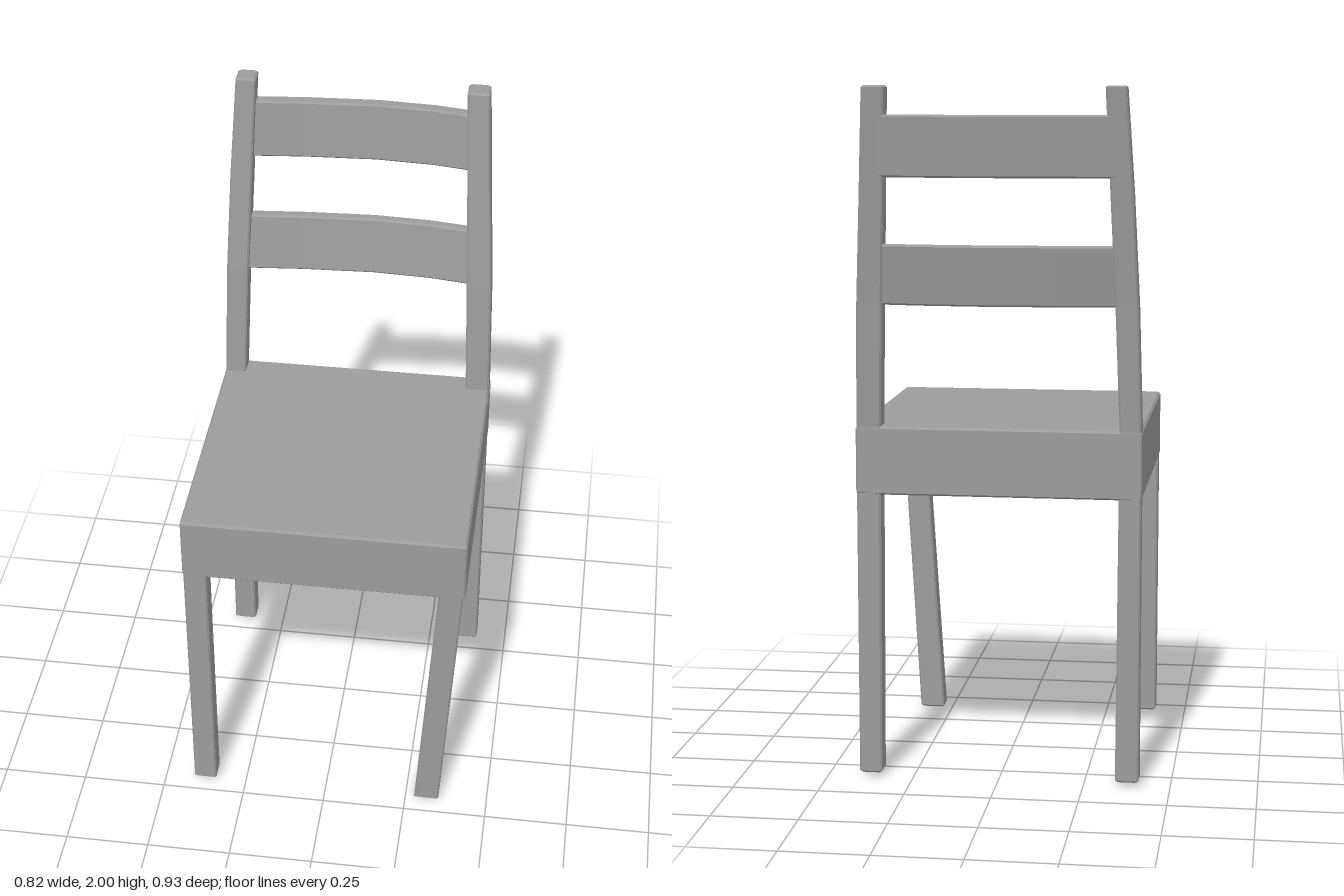
import * as THREE from 'three';

const material = new THREE.MeshStandardMaterial({ color: 0x9c9c9c, flatShading: true });

// Rectangle with clipped corners, counter-clockwise in (u, v)
function clippedRect(u0, u1, v0, v1, c) {
  return [
    [u1, v0 + c], [u1, v1 - c], [u1 - c, v1], [u0 + c, v1],
    [u0, v1 - c], [u0, v0 + c], [u0 + c, v0], [u1 - c, v0],
  ];
}

// Horizontal ring at height y
function levelRing(y, x0, x1, z0, z1, inset, bevel) {
  return clippedRect(z0 + inset, z1 - inset, x0 + inset, x1 - inset, bevel).map(([z, x]) => [x, y, z]);
}

// Skin a list of rings of [x, y, z] points and cap both ends
function loft(name, rings) {
  const pos = [];
  const tri = (a, b, c) => pos.push(...a, ...b, ...c);
  const n = rings[0].length;
  for (let i = 0; i < rings.length - 1; i++) {
    for (let j = 0; j < n; j++) {
      const k = (j + 1) % n;
      tri(rings[i][j], rings[i][k], rings[i + 1][k]);
      tri(rings[i][j], rings[i + 1][k], rings[i + 1][j]);
    }
  }
  const first = rings[0], last = rings[rings.length - 1];
  for (let j = 1; j < n - 1; j++) {
    tri(first[0], first[j + 1], first[j]);
    tri(last[0], last[j], last[j + 1]);
  }
  const geometry = new THREE.BufferGeometry();
  geometry.setAttribute('position', new THREE.Float32BufferAttribute(pos, 3));
  geometry.computeVertexNormals();
  const mesh = new THREE.Mesh(geometry, material);
  mesh.name = name;
  return mesh;
}

// Upright bar through sections [y, x0, x1, z0, z1], with bevelled ends
function upright(name, sections) {
  const bevel = 0.005;
  const ring = ([y, ...sides], inset, dy) => levelRing(y + dy, ...sides, inset, bevel);
  const first = sections[0], last = sections[sections.length - 1];
  return loft(name, [
    ring(first, bevel, 0),
    ring(first, 0, bevel),
    ...sections.slice(1, -1).map((s) => ring(s, 0, 0)),
    ring(last, 0, -bevel),
    ring(last, bevel, 0),
  ]);
}

// Bowed, backward-leaning slat; zBottom and zTop are the front edge at its ends
function slat(name, y0, y1, zBottom, zTop, thickness, depth) {
  const stations = [[-0.335, 0], [-0.17, 0.6], [0.04, 1], [0.21, 0.65], [0.335, -0.1]];
  return loft(name, stations.map(([x, bow]) =>
    clippedRect(y0, y1, -thickness, 0, 0.005).map(([y, dz]) => {
      const t = (y - y0) / (y1 - y0);
      return [x, y, zBottom + (zTop - zBottom) * t - bow * depth + dz];
    })));
}

export function createModel() {
  const chair = new THREE.Group();
  chair.name = 'chair';

  // Back legs run on into the leaning back posts
  chair.add(upright('rightBackPost', [
    [0.012, -0.409, -0.341, -0.352, -0.287],
    [1.04, -0.409, -0.347, -0.352, -0.288],
    [1.39, -0.4, -0.335, -0.378, -0.315],
    [1.7, -0.386, -0.322, -0.412, -0.35],
    [2, -0.368, -0.31, -0.447, -0.386],
  ]));
  chair.add(upright('leftBackPost', [
    [0.012, 0.341, 0.407, -0.352, -0.287],
    [1.04, 0.336, 0.407, -0.352, -0.288],
    [1.39, 0.325, 0.398, -0.378, -0.315],
    [1.7, 0.313, 0.381, -0.412, -0.35],
    [2, 0.301, 0.365, -0.447, -0.386],
  ]));

  // Front legs: the left one is skewed inward
  chair.add(upright('rightFrontLeg', [
    [0.012, -0.409, -0.341, 0.398, 0.462],
    [1.0, -0.409, -0.341, 0.398, 0.462],
  ]));
  chair.add(upright('leftFrontLeg', [
    [0, 0.277, 0.352, 0.386, 0.45],
    [0.84, 0.332, 0.403, 0.398, 0.461],
    [1.0, 0.34, 0.406, 0.398, 0.461],
  ]));

  // Seat and apron in one piece, hollow underneath: down the inside, up the outside
  const sides = [-0.411, 0.409, -0.353, 0.464];
  chair.add(loft('seat', [
    [0.99, 0.035], [0.84, 0.035], [0.84, 0.005], [0.845, 0], [1.031, 0], [1.038, 0.006],
  ].map(([y, inset]) => levelRing(y, ...sides, inset, 0.005))));

  // Back slats
  chair.add(slat('upperSlat', 1.748, 1.92, -0.383, -0.402, 0.036, 0.027));
  chair.add(slat('lowerSlat', 1.388, 1.56, -0.335, -0.362, 0.031, 0.024));

  return chair;
}
